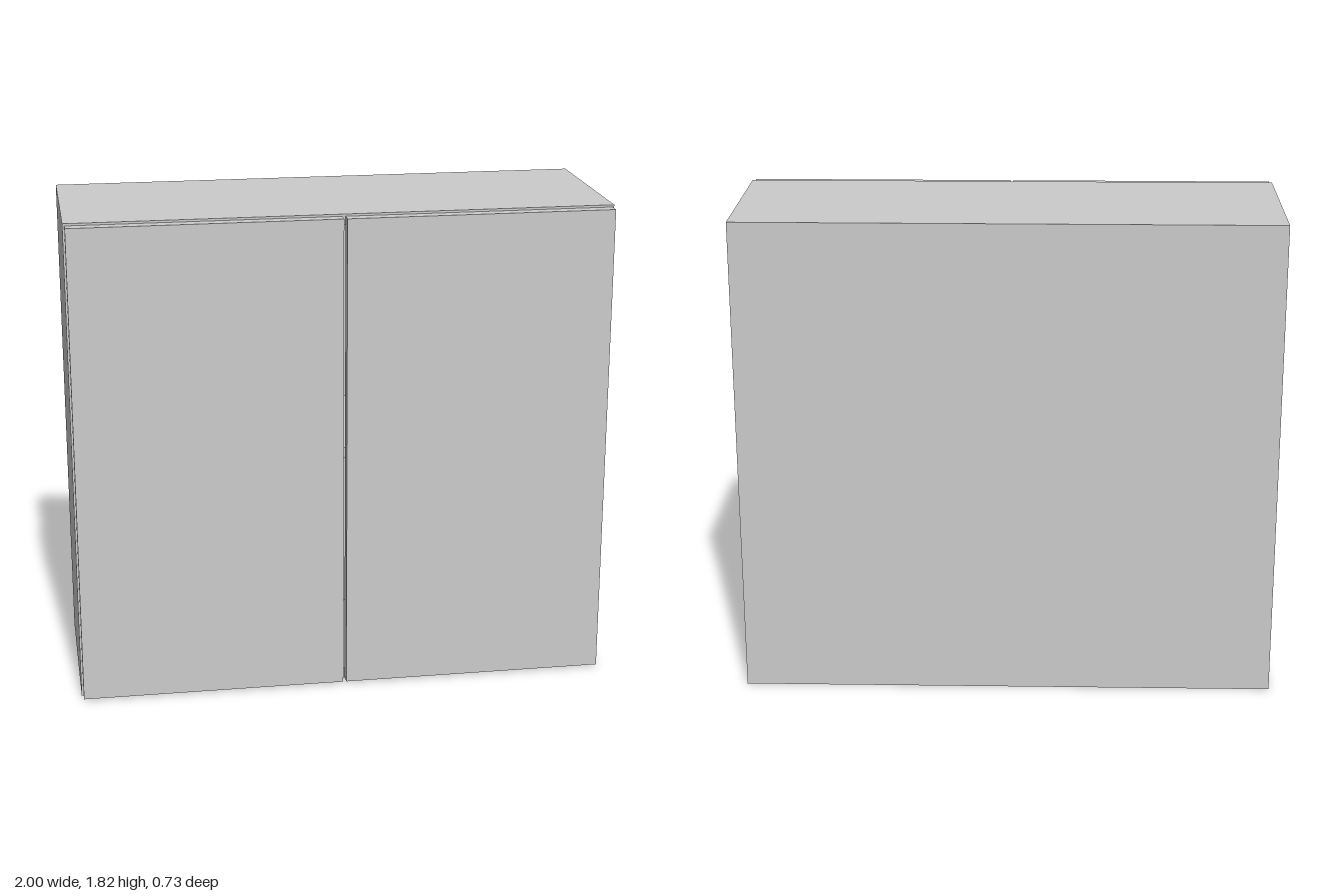
import * as THREE from 'three';

// Two-door wall cabinet: open carcass, back panel, one shelf, two slab doors
export function createModel() {
  const group = new THREE.Group();
  const material = new THREE.MeshStandardMaterial({ color: 0xcccccc, flatShading: true });

  const H = 1.82, T = 0.04;              // height, board thickness
  const back = -0.363, front = 0.314;    // carcass depth range
  const backT = 0.02;
  const innerW = 2 - 2 * T;

  // Board given by its min and max corners
  const board = (name, x0, x1, y0, y1, z0, z1) => {
    const mesh = new THREE.Mesh(new THREE.BoxGeometry(x1 - x0, y1 - y0, z1 - z0), material);
    mesh.position.set((x0 + x1) / 2, (y0 + y1) / 2, (z0 + z1) / 2);
    mesh.name = name;
    group.add(mesh);
  };

  // Side panels and doors, mirrored
  for (const [side, s] of [['left', 1], ['right', -1]]) {
    const span = (a, b) => (s > 0 ? [a, b] : [-b, -a]);
    board(`${side}SidePanel`, ...span(1 - T, 1), 0, H, back, front);
    board(`${side}Door`, ...span(0.006, 0.993), 0.007, H - 0.007, 0.319, 0.363);
  }

  // Horizontal boards between the sides
  const x = innerW / 2, inner = back + backT;
  board('bottomPanel', -x, x, 0, T, inner, front);
  board('topPanel', -x, x, H - T, H, inner, front);
  board('shelf', -x, x, H / 2 - T / 2, H / 2 + T / 2, inner, front - 0.02);

  // Back panel
  board('backPanel', -x, x, 0, H, back, inner);

  return group;
}
